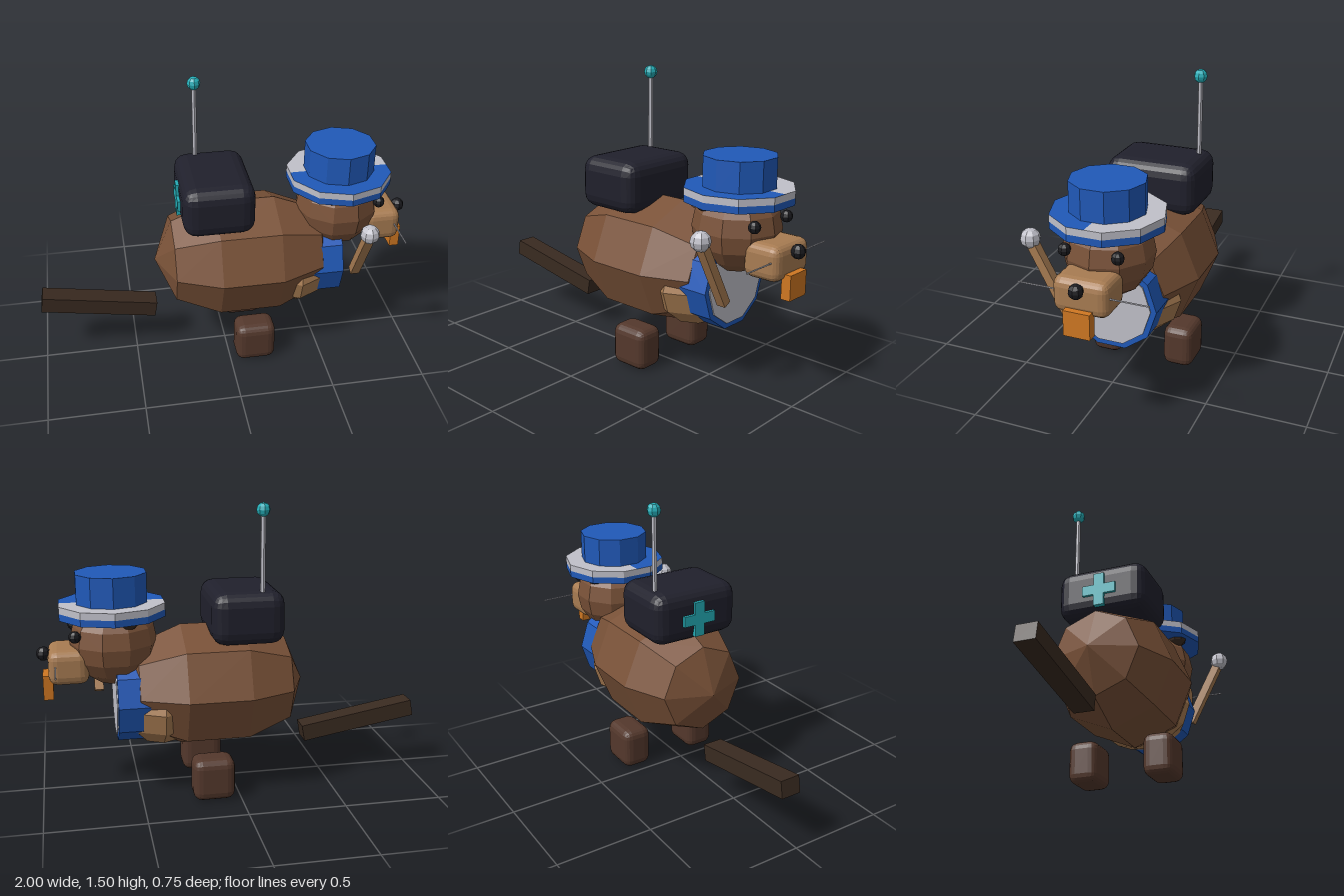
import * as THREE from 'three';
import { RoundedBoxGeometry } from 'three/addons/geometries/RoundedBoxGeometry.js';

const ZC = -0.047; // the animal's own symmetry plane

function material(name, color) {
  const m = new THREE.MeshStandardMaterial({ color, flatShading: true });
  m.name = name;
  return m;
}

export function createModel() {
  const brown = material('fur brown', 0x7a5238);
  const tan = material('light fur', 0xa87c52);
  const dark = material('dark fur', 0x392a20);
  const footBrown = material('foot brown', 0x54382c);
  const blue = material('blue cloth', 0x2059b8);
  const grey = material('light grey', 0xc0c0c9);
  const navy = material('pack navy', 0x20202c);
  const teal = material('teal', 0x25aeb8);
  const orange = material('tooth orange', 0xcf7722);
  const black = material('black', 0x1a1a1e);

  const model = new THREE.Group();
  model.name = 'animal';

  const add = (name, geometry, mat, x, y, z, parent = model) => {
    const mesh = new THREE.Mesh(geometry, mat);
    mesh.name = name;
    mesh.position.set(x, y, z);
    parent.add(mesh);
    return mesh;
  };
  const box = (w, h, d) => new THREE.BoxGeometry(w, h, d);
  const ball = (r, w = 8, h = 6) => new THREE.SphereGeometry(r, w, h);
  const rounded = (w, h, d, r) => new RoundedBoxGeometry(w, h, d, 2, r);

  // Body and belly
  add('body', new THREE.CapsuleGeometry(0.325, 0.32, 2, 8).rotateZ(-Math.PI / 2), brown, 0.11, 0.55, ZC);
  add('belly', ball(1).scale(0.23, 0.22, 0.275), tan, 0.38, 0.475, ZC);

  // Bib with pale front
  const disc = (r, len) => new THREE.CylinderGeometry(r, r, len, 10).rotateZ(-Math.PI / 2);
  add('bib', disc(0.235, 0.16), blue, 0.53, 0.515, ZC);
  add('bibFront', disc(0.207, 0.008), grey, 0.612, 0.515, ZC);

  // Head
  add('head', ball(0.22, 10, 8), brown, 0.61, 0.805, ZC);
  add('muzzle', rounded(0.2, 0.175, 0.275, 0.045), tan, 0.84, 0.705, ZC);
  add('nose', ball(0.036), black, 0.962, 0.755, ZC);
  add('tooth', box(0.05, 0.125, 0.13), orange, 0.945, 0.592, ZC);
  for (const s of [1, -1]) {
    const side = s > 0 ? 'left' : 'right';
    add(side + 'Eye', ball(0.031), black, 0.805, 0.866, ZC + s * 0.13);
    add(side + 'Ear', ball(0.055), dark, 0.54, 0.955, ZC + s * 0.165);
    add(side + 'Whisker', new THREE.CylinderGeometry(0.004, 0.004, 0.19, 5).rotateX(Math.PI / 2),
      grey, 0.905, 0.717, ZC + s * 0.225);
    add(side + 'Foot', rounded(0.215, 0.22, 0.16, 0.045), footBrown, 0.138, 0.11, ZC + s * 0.202);
  }

  // Hat: two-tone brim whose top and underside are split half and half
  const hat = new THREE.Group();
  hat.name = 'hat';
  hat.position.set(0.615, 0.94, -0.05);
  model.add(hat);
  const R = 0.274;
  const rim = () => new THREE.CylinderGeometry(R, R, 0.035, 10, 1, true);
  add('lowerBrim', rim(), blue, 0, 0.0175, 0, hat);
  add('upperBrim', rim(), grey, 0, 0.0525, 0, hat);
  const half = new THREE.Shape();
  const apothem = R * Math.cos(Math.PI / 10);
  half.moveTo(apothem, 0);
  for (let i = 0; i < 5; i++) {
    const a = Math.PI * (0.1 + i * 0.2);
    half.lineTo(R * Math.cos(a), R * Math.sin(a));
  }
  half.lineTo(-apothem, 0);
  for (const up of [1, -1]) {
    for (const back of [1, -1]) {
      const g = new THREE.ShapeGeometry(half);
      if (up * back < 0) g.rotateZ(Math.PI);
      g.rotateX(-up * Math.PI / 2);
      if (up < 0) g.rotateY(Math.PI);
      g.computeBoundingBox();
      const isBack = g.boundingBox.min.z < -0.1;
      add((up > 0 ? 'brimTop' : 'brimUnderside') + (isBack ? 'Grey' : 'Blue'),
        g, isBack ? grey : blue, 0, up > 0 ? 0.07 : 0, 0, hat);
    }
  }
  add('crown', new THREE.CylinderGeometry(0.183, 0.183, 0.15, 10), blue, 0, 0.145, 0, hat);

  // Mallet held at the left of the chest
  const stick = add('stick', box(0.048, 0.39, 0.044), tan, 0.685, 0.652, 0.232);
  stick.rotation.x = Math.atan2(0.18, 0.34);
  add('stickKnob', ball(0.05), grey, 0.685, 0.83, 0.323);

  // Backpack, cross and antenna
  add('backpack', rounded(0.37, 0.27, 0.485, 0.07), navy, -0.05, 0.933, ZC);
  add('crossUpright', box(0.03, 0.18, 0.055), teal, -0.235, 0.92, ZC);
  add('crossBar', box(0.03, 0.055, 0.18), teal, -0.235, 0.92, ZC);
  add('antenna', new THREE.CylinderGeometry(0.013, 0.013, 0.44, 6), grey, -0.12, 1.25, -0.228);
  add('antennaTip', ball(0.035), teal, -0.12, 1.47, -0.228);

  // Flat tail
  const tail = add('tail', box(0.62, 0.087, 0.105), dark, -0.688, 0.298, -0.05);
  tail.rotation.z = -0.172;

  return model;
}
